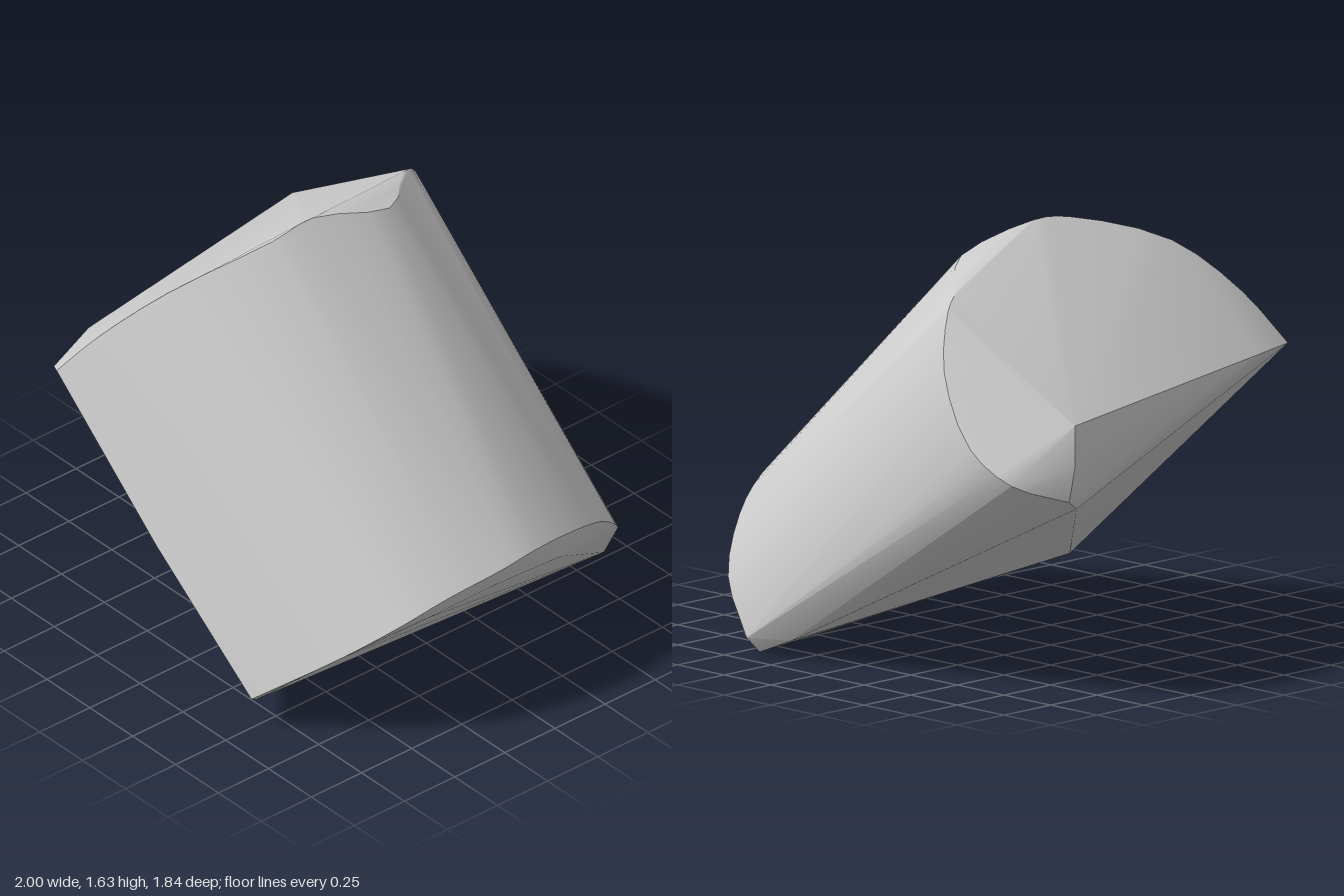
import * as THREE from 'three';
import { ConvexGeometry } from 'three/addons/geometries/ConvexGeometry.js';
import { toCreasedNormals } from 'three/addons/utils/BufferGeometryUtils.js';

const toPoints = (list) => list.map((p) => new THREE.Vector3(...p));

// Smooth arc through a few rim points
const arc = (list, n) => new THREE.CatmullRomCurve3(toPoints(list)).getPoints(n);

export function createModel() {
  const group = new THREE.Group();
  group.name = 'halfCylinderBlock';

  // Rounded rim at the upper left end, from front tip over the crest to the back
  const upperRim = arc([
    [-0.58, 1.1, 0.92], [-0.45, 1.28, 0.82], [-0.28, 1.48, 0.62], [-0.14, 1.61, 0.22],
    [-0.14, 1.63, 0.02], [-0.1, 1.54, -0.33], [-0.32, 1.47, -0.58], [-0.38, 1.42, -0.68],
    [-0.5, 1.22, -0.82], [-0.72, 0.97, -0.9], [-0.9, 0.85, -0.86], [-1, 0.77, -0.65],
  ], 33);

  // Rounded rim at the lower right end, same direction
  const lowerRim = arc([
    [0.51, 0.14, 0.88], [0.8, 0.39, 0.67], [0.93, 0.52, 0.5], [0.98, 0.59, 0.3],
    [1, 0.62, 0.05], [0.98, 0.62, -0.13], [0.9, 0.55, -0.4], [0.8, 0.44, -0.62],
    [0.66, 0.25, -0.82], [0.46, 0.06, -0.92],
  ], 27);

  // Inset edges and corners of the two sloping caps and the flat underside
  const corners = toPoints([
    [-0.96, 1.05, -0.58], [-1, 0.9, -0.62], [-0.97, 0.73, -0.58], [-0.72, 1.1, 0.64],
    [-0.62, 1.09, 0.9], [0, 0.6, 0.92],
    [0.97, 0.54, 0.05], [0.93, 0.5, 0.35], [0.91, 0.47, -0.32],
    [0.49, 0.11, 0.84], [0.53, 0.05, -0.86], [0.44, 0, -0.87], [0.27, 0.07, -0.87],
  ]);

  const hull = new ConvexGeometry([...upperRim, ...lowerRim, ...corners]);
  const body = new THREE.Mesh(
    toCreasedNormals(hull, 0.4),
    new THREE.MeshStandardMaterial({ color: 0xcccccc }),
  );
  body.name = 'body';
  group.add(body);
  return group;
}
